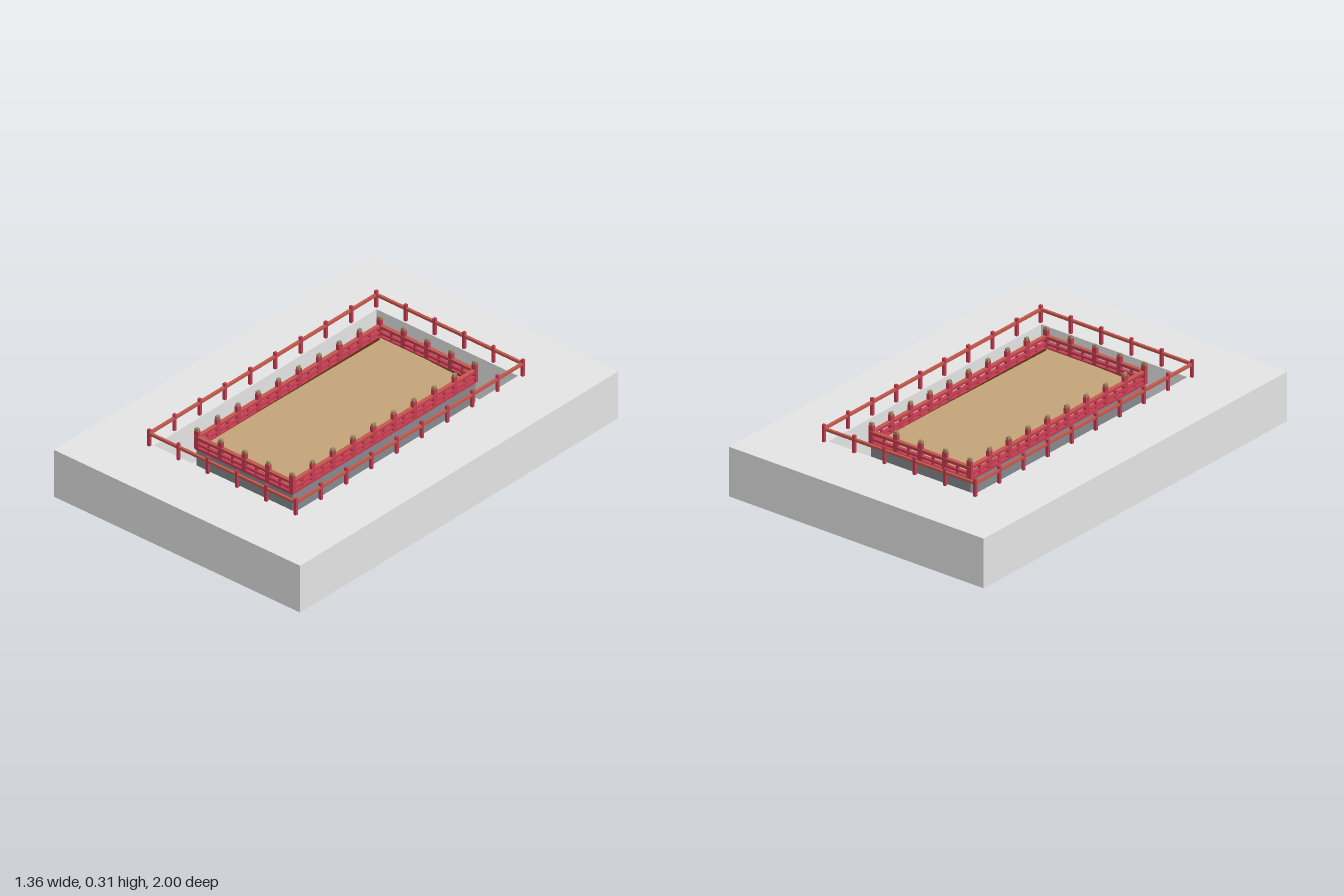
import * as THREE from 'three';

const mat = (name, color, side = THREE.FrontSide) => {
  const m = new THREE.MeshStandardMaterial({ color, side });
  m.name = name;
  return m;
};

export function createModel() {
  const stone = mat('pale stone', 0xe3e3e3, THREE.DoubleSide);
  const darkStone = mat('dark stone', 0x84888c);
  const sand = mat('sand', 0xc2a279);
  const red = mat('red wood', 0xc43c50);
  const rust = mat('rust wood', 0xc4584c);
  const brown = mat('dark brown wood', 0x552c12);
  const olive = mat('olive caps', 0x9c8a60);

  const model = new THREE.Group();
  model.name = 'fencedArena';

  const add = (parent, name, geo, material, x = 0, y = 0, z = 0) => {
    const m = new THREE.Mesh(geo, material);
    m.name = name;
    m.position.set(x, y, z);
    parent.add(m);
    return m;
  };
  const box = (parent, name, material, w, h, d, x, y, z) =>
    add(parent, name, new THREE.BoxGeometry(w, h, d), material, x, y, z);

  // A thin-skinned box without the listed sides (2 = top, 3 = bottom)
  const openBox = (w, h, d, omit) => {
    const geo = new THREE.BoxGeometry(w, h, d);
    const index = Array.from(geo.index.array);
    geo.setIndex(index.filter((_, i) => !omit.includes(Math.floor(i / 6))));
    geo.clearGroups();
    return geo;
  };

  // Hollow base: outer skirt, deck with an opening, sunken tray
  const H = 0.23, FLOOR = 0.025, HX = 0.39, HZ = 0.7;
  add(model, 'baseSkirt', openBox(1.36, H, 2, [2, 3]), stone, 0, H / 2, 0);
  const rect = (T, x, z) => new T().moveTo(-x, -z).lineTo(x, -z).lineTo(x, z).lineTo(-x, z).closePath();
  const deck = rect(THREE.Shape, 0.68, 1);
  deck.holes.push(rect(THREE.Path, HX, HZ));
  add(model, 'deck', new THREE.ShapeGeometry(deck).rotateX(-Math.PI / 2), stone, 0, H, 0);
  add(model, 'sunkenTray', openBox(2 * HX, H - FLOOR, 2 * HZ, [2]), stone, 0, (H + FLOOR) / 2, 0);

  // Raised arena inside the tray: open-ended plinth walls under a sand plate
  const TOP = 0.212;
  add(model, 'arenaPlinth', openBox(0.53, TOP - FLOOR, 1.15, [2, 3]), darkStone, 0, (TOP + FLOOR) / 2, 0);
  box(model, 'sandFloor', sand, 0.528, 0.004, 1.148, 0, TOP - 0.002, 0);

  // Tapering edge boards, repeated by a half turn
  const wedge = (pts) => {
    const s = new THREE.Shape(pts.map(([x, z]) => new THREE.Vector2(x, -z)));
    return new THREE.ShapeGeometry(s).rotateX(-Math.PI / 2);
  };
  for (const turn of [0, Math.PI]) {
    const boards = new THREE.Group();
    boards.name = 'edgeBoards';
    boards.rotation.y = turn;
    add(boards, 'endBoard', wedge([[-0.26, -0.575], [0.26, -0.575], [0.245, -0.552], [-0.24, -0.572]]), brown, 0, TOP + 0.003, 0);
    add(boards, 'sideBoard', wedge([[-0.263, -0.57], [-0.24, -0.55], [-0.254, 0.4], [-0.263, 0.5]]), brown, 0, TOP + 0.003, 0);
    model.add(boards);
  }

  // Calls back once for each post position round a rectangle
  const around = (x, z, nx, nz, visit) => {
    for (const s of [-1, 1]) {
      for (let i = 0; i <= nx; i++) visit(-x + (2 * x * i) / nx, s * z, true, i, nx);
      for (let i = 0; i <= nz; i++) visit(s * x, -z + (2 * z * i) / nz, false, i, nz);
    }
  };
  const rails = (parent, material, x, z, y, h, t) => {
    for (const s of [-1, 1]) {
      box(parent, 'endRail', material, 2 * x + t, h, t, 0, y, s * z);
      box(parent, 'sideRail', material, t, h, 2 * z - t, s * x, y, 0);
    }
  };

  // Outer fence: slim posts with one rail
  const outer = new THREE.Group();
  outer.name = 'outerFence';
  model.add(outer);
  around(0.404, 0.714, 5, 9, (x, z, end, i, n) => {
    if (!end && (i === 0 || i === n)) return;
    box(outer, 'outerPost', red, 0.013, 0.08, 0.013, x, 0.27, z);
  });
  rails(outer, rust, 0.404, 0.714, 0.29, 0.012, 0.012);

  // Inner fence: sturdier capped posts, broad low rails and short struts
  const inner = new THREE.Group();
  inner.name = 'innerFence';
  model.add(inner);
  const IX = 0.262, IZ = 0.574;
  around(IX, IZ, 4, 9, (x, z, end, i, n) => {
    if (i < n) {
      const dx = end ? IX / n : 0, dz = end ? 0 : IZ / n;
      box(inner, 'strut', red, 0.01, 0.05, 0.01, x + dx, 0.232, z + dz);
    }
    if (!end && (i === 0 || i === n)) return;
    const w = end ? 0.022 : 0.016, d = end ? 0.016 : 0.022;
    box(inner, 'innerPost', red, w, 0.086, d, x, 0.253, z);
    box(inner, 'postCap', olive, w * 0.8, 0.012, d * 0.8, x, 0.302, z);
  });
  rails(inner, rust, IX, IZ, 0.269, 0.002, 0.018);
  rails(inner, red, IX, IZ, 0.262, 0.012, 0.018);
  rails(inner, red, IX, IZ, 0.234, 0.01, 0.016);
  rails(inner, red, IX, IZ, 0.212, 0.012, 0.016);

  return model;
}
